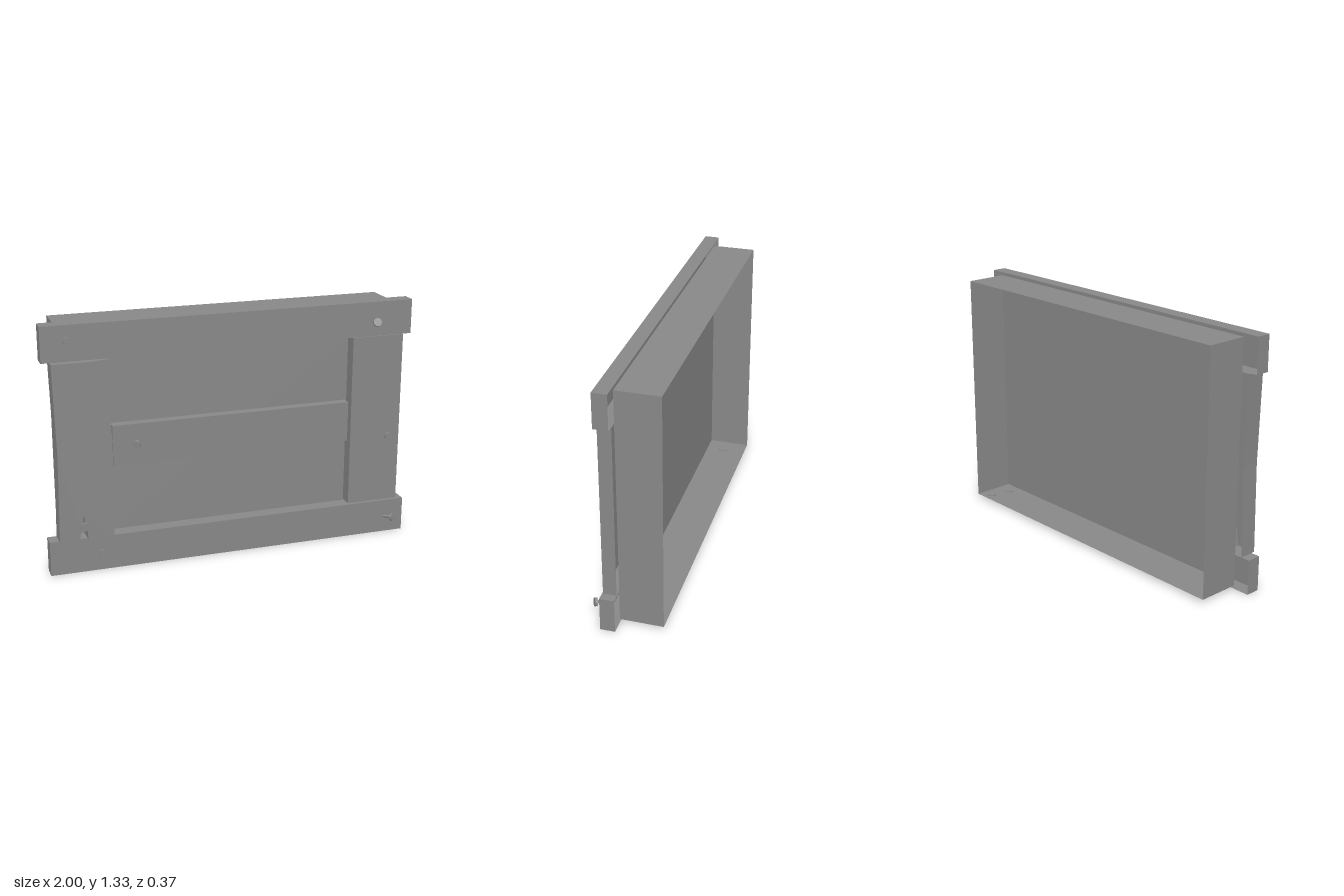
import * as THREE from 'three';

const material = new THREE.MeshStandardMaterial({ color: 0x888888, side: THREE.DoubleSide, flatShading: true });
const smooth = new THREE.MeshStandardMaterial({ color: 0x888888 });

// Removes the faces that look backwards, leaving a thin shell open at the back
function openBack(geometry) {
  const src = geometry.index ? geometry.toNonIndexed() : geometry;
  const p = src.attributes.position;
  const tri = new THREE.Triangle();
  const normal = new THREE.Vector3();
  const kept = [];
  for (let i = 0; i < p.count; i += 3) {
    tri.setFromAttributeAndIndices(p, i, i + 1, i + 2);
    if (tri.getNormal(normal).z < -0.9) continue;
    for (const v of [tri.a, tri.b, tri.c]) kept.push(v.x, v.y, v.z);
  }
  const out = new THREE.BufferGeometry();
  out.setAttribute('position', new THREE.Float32BufferAttribute(kept, 3));
  out.computeVertexNormals();
  return out;
}

function addMesh(parent, name, geometry, mat = material) {
  const mesh = new THREE.Mesh(geometry, mat);
  mesh.name = name;
  parent.add(mesh);
  return mesh;
}

// Open-backed box given by its limits
function shell(parent, name, x0, x1, y0, y1, z0, z1) {
  const mesh = addMesh(parent, name, openBack(new THREE.BoxGeometry(x1 - x0, y1 - y0, z1 - z0)));
  mesh.position.set((x0 + x1) / 2, (y0 + y1) / 2, (z0 + z1) / 2);
}

// Nail with its head at one point and its shaft running to another
function nail(parent, name, head, base) {
  const top = new THREE.Vector3(...head);
  const axis = top.clone().sub(new THREE.Vector3(...base));
  const length = axis.length();
  const group = new THREE.Group();
  group.name = name;
  addMesh(group, 'nailHead', new THREE.CylinderGeometry(0.022, 0.022, 0.013, 16), smooth);
  const shaft = addMesh(group, 'nailShaft', new THREE.CylinderGeometry(0.008, 0.008, length, 10), smooth);
  shaft.position.y = -length / 2;
  group.position.copy(top);
  group.quaternion.setFromUnitVectors(new THREE.Vector3(0, 1, 0), axis.normalize());
  parent.add(group);
}

export function createModel() {
  const model = new THREE.Group();
  model.name = 'plankedTray';
  const back = 0.043;

  // Shallow tray, open at the back
  shell(model, 'tray', -0.91, 0.92, 0.018, 1.31, -0.185, back);

  // Straight planks on the front
  shell(model, 'topPlank', -1, 1, 1.142, 1.328, back, 0.12);
  shell(model, 'bottomPlank', -1, 1, 0, 0.187, back, 0.12);
  shell(model, 'leftPlank', 0.67, 0.96, 0.193, 1.138, back, 0.113);
  shell(model, 'middlePlank', -0.647, 0.66, 0.557, 0.777, back, 0.095);

  // Warped plank with a split at its lower end
  const outline = [
    [-0.95, 0.187], [-0.845, 0.187], [-0.835, 0.25], [-0.826, 0.28], [-0.82, 0.33],
    [-0.813, 0.27], [-0.803, 0.24], [-0.802, 0.187], [-0.663, 0.187], [-0.658, 0.7],
    [-0.665, 0.85], [-0.665, 1.143], [-0.78, 1.137], [-0.955, 1.137], [-0.942, 0.66],
  ].map(([x, y]) => new THREE.Vector2(x, y));
  const warped = new THREE.ExtrudeGeometry(new THREE.Shape(outline), { depth: 0.14 - back, bevelEnabled: false });
  warped.translate(0, 0, back);
  addMesh(model, 'splitPlank', openBack(warped));

  // Nails that have worked loose
  nail(model, 'topNail', [0.78, 1.229, 0.168], [0.79, 1.212, 0.121]);
  nail(model, 'middleNail', [-0.533, 0.678, 0.142], [-0.515, 0.683, 0.096]);
  nail(model, 'bottomNail', [0.92, 0.099, 0.168], [0.887, 0.09, 0.115]);

  // Flat nail heads
  for (const [x, y, z] of [
    [-0.863, 1.245, 0.1265], [0.9, 0.567, 0.1195], [-0.72, 0.09, 0.123], [-0.82, 0.273, 0.169],
  ]) {
    const head = addMesh(model, 'flatNailHead', new THREE.CylinderGeometry(0.023, 0.023, 0.012, 16), smooth);
    head.rotation.x = Math.PI / 2;
    head.position.set(x, y, z);
  }

  // Small round feet through the floor of the tray
  for (const [x, z] of [[0.83, -0.02], [0.855, -0.134], [-0.82, -0.053]]) {
    const foot = addMesh(model, 'foot', new THREE.CylinderGeometry(0.024, 0.024, 0.014, 16), smooth);
    foot.position.set(x, 0.015, z);
  }
  return model;
}
